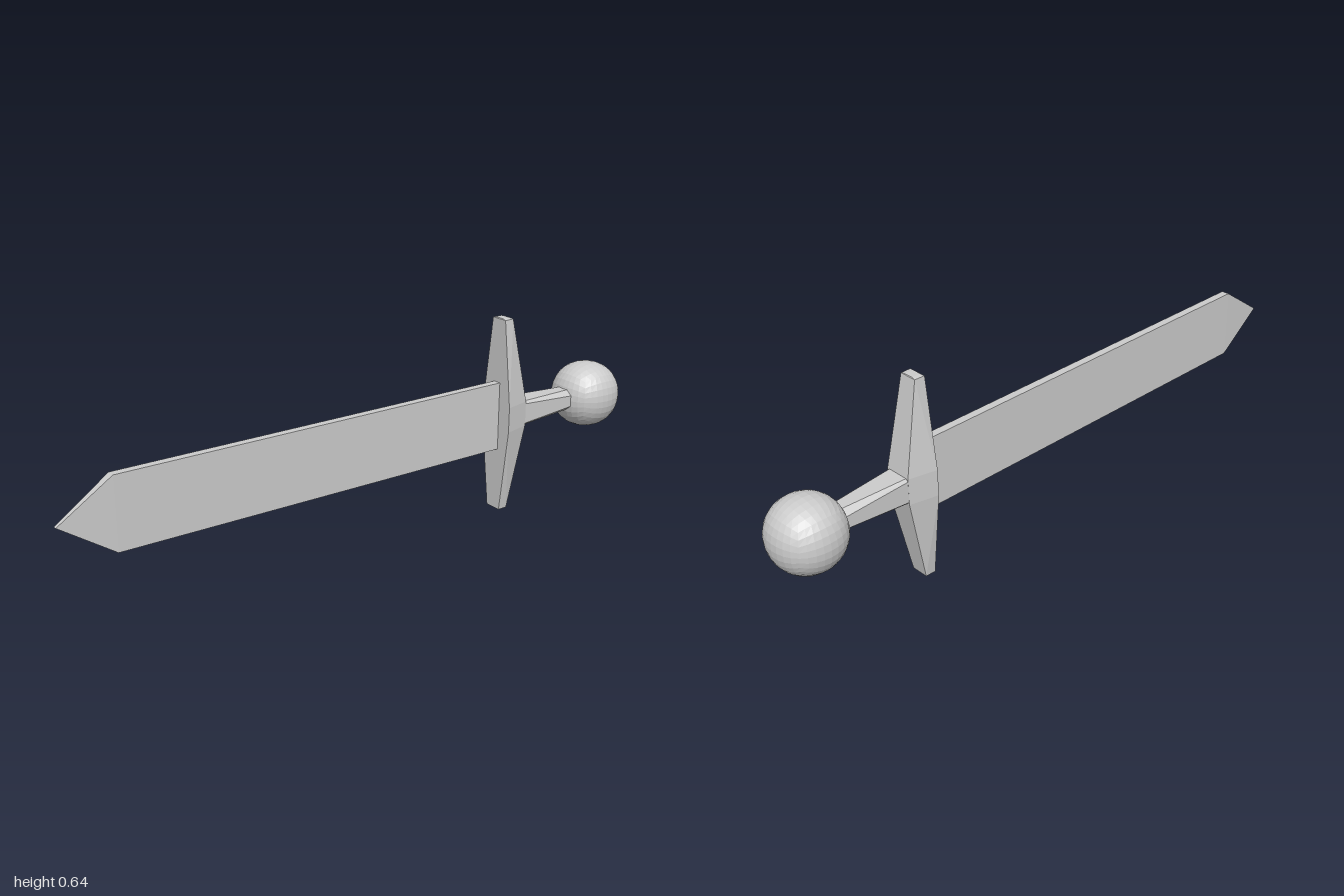
import * as THREE from 'three';
import { ConvexGeometry } from 'three/addons/geometries/ConvexGeometry.js';

const AXIS_Y = 0.322; // height of the sword's long axis

export function createModel() {
  const sword = new THREE.Group();
  sword.name = 'sword';
  const material = new THREE.MeshStandardMaterial({ color: 0xcccccc, flatShading: true });

  const add = (name, geometry) => {
    const mesh = new THREE.Mesh(geometry, material);
    mesh.name = name;
    mesh.position.y = AXIS_Y;
    sword.add(mesh);
    return mesh;
  };

  // Convex solid from [x, y, z] corners, mirrored over y and z
  const mirroredSolid = (corners) => {
    const points = [];
    for (const [x, y, z] of corners)
      for (const sy of y ? [1, -1] : [1])
        for (const sz of [1, -1]) points.push(new THREE.Vector3(x, y * sy, z * sz));
    return new ConvexGeometry(points);
  };

  // Flat blade narrowing to a point
  add('blade', mirroredSolid([
    [0.51, 0.112, 0.013],
    [-0.835, 0.112, 0.013],
    [-1, 0, 0.006],
  ]));

  // Crossguard: flat towards the blade, thickest at the grip
  add('crossguard', mirroredSolid([
    [0.497, 0.041, 0.063],
    [0.585, 0.041, 0.043],
    [0.497, 0.319, 0.029],
    [0.53, 0.319, 0.028],
    [0.5, 0.321, 0.015],
    [0.528, 0.321, 0.015],
  ]));

  // Grip: nearly square at the guard, octagonal at the pommel
  add('grip', mirroredSolid([
    [0.57, 0.041, 0.036],
    [0.57, 0.034, 0.043],
    [0.81, 0.034, 0.017],
    [0.81, 0.017, 0.038],
  ]));

  // Pommel: a cube rounded almost to a ball
  const ball = new THREE.BoxGeometry(2, 2, 2, 8, 8, 8);
  const pos = ball.attributes.position;
  const v = new THREE.Vector3();
  for (let i = 0; i < pos.count; i++) {
    v.fromBufferAttribute(pos, i);
    v.set(...v.toArray().map((c) => Math.tan(c * Math.PI / 4))).normalize();
    const s = v.x ** 4 + v.y ** 4 + v.z ** 4;
    v.multiplyScalar(0.109 * (1 + 0.05 * (1 - s)));
    pos.setXYZ(i, v.x, v.y, v.z);
  }
  ball.computeVertexNormals();
  add('pommel', ball).position.x = 0.891;

  return sword;
}
